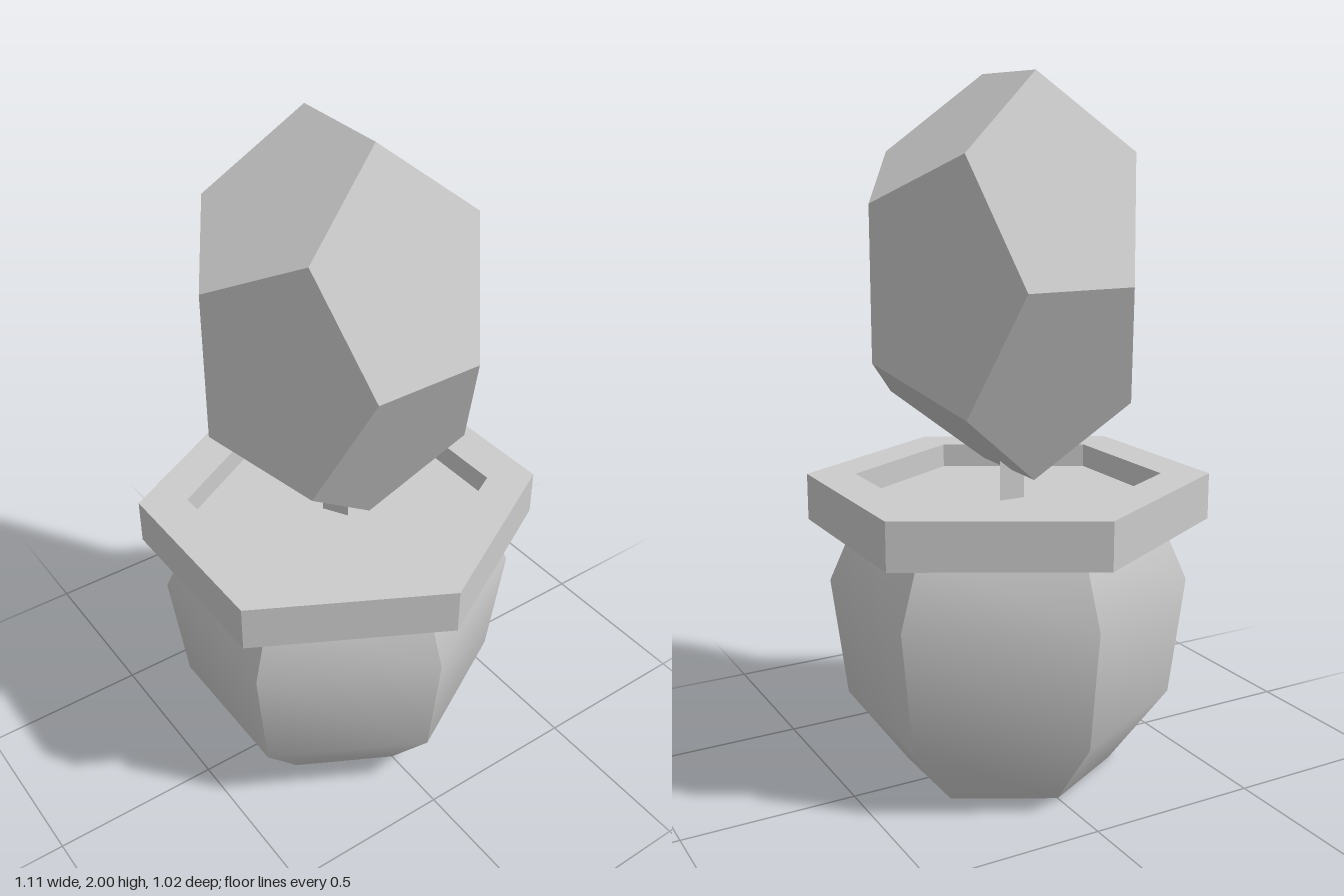
import * as THREE from 'three';
import { mergeGeometries } from 'three/addons/utils/BufferGeometryUtils.js';

const DEPTH = 1.06; // hexagons are slightly stretched along z

export function createModel() {
  const model = new THREE.Group();
  const smooth = new THREE.MeshStandardMaterial({ color: 0xcccccc });
  const flat = new THREE.MeshStandardMaterial({ color: 0xcccccc, flatShading: true });

  const add = (name, geometry, material = flat) => {
    const mesh = new THREE.Mesh(geometry, material);
    mesh.name = name;
    model.add(mesh);
    return mesh;
  };
  const hexagon = (r) => Array.from({ length: 6 }, (_, i) =>
    new THREE.Vector2(r * Math.cos(i * Math.PI / 3), r * Math.sin(i * Math.PI / 3) * DEPTH));

  // Pot wall: six panels, smooth up the profile, sharp between panels
  const profile = [[0.29, 0], [0.455, 0.215], [0.498, 0.565], [0.42, 0.755]]
    .map(([r, y]) => new THREE.Vector2(r, y));
  const panels = [];
  for (let i = 0; i < 6; i++) {
    const panel = new THREE.LatheGeometry(profile, 1, Math.PI / 6 + i * Math.PI / 3, Math.PI / 3);
    panel.scale(1, 1, DEPTH);
    panel.computeVertexNormals();
    panels.push(panel);
  }
  add('potWall', mergeGeometries(panels), smooth);

  // Pot base
  add('potBase', new THREE.ShapeGeometry(new THREE.Shape(hexagon(0.29))).rotateX(Math.PI / 2));

  // Rim: hexagonal ring
  const ring = new THREE.Shape(hexagon(0.553));
  ring.holes.push(new THREE.Path(hexagon(0.42)));
  const rim = new THREE.ExtrudeGeometry(ring, { depth: 0.135, bevelEnabled: false });
  add('potRim', rim.rotateX(-Math.PI / 2)).position.y = 0.75;

  // Soil, sunk below the top of the rim
  add('soil', new THREE.ShapeGeometry(new THREE.Shape(hexagon(0.42))).rotateX(-Math.PI / 2))
    .position.y = 0.815;

  // Stem: three-sided, running into the crown
  const stem = new THREE.CylinderGeometry(0.046, 0.046, 0.25, 3, 1, false, Math.PI / 2);
  add('stem', stem).position.y = 0.91;

  // Crown: stretched dodecahedron
  const crown = new THREE.DodecahedronGeometry(Math.sqrt(3), 0);
  add('crown', crown.scale(0.241, 0.34, 0.2565)).position.y = 1.45;

  return model;
}
